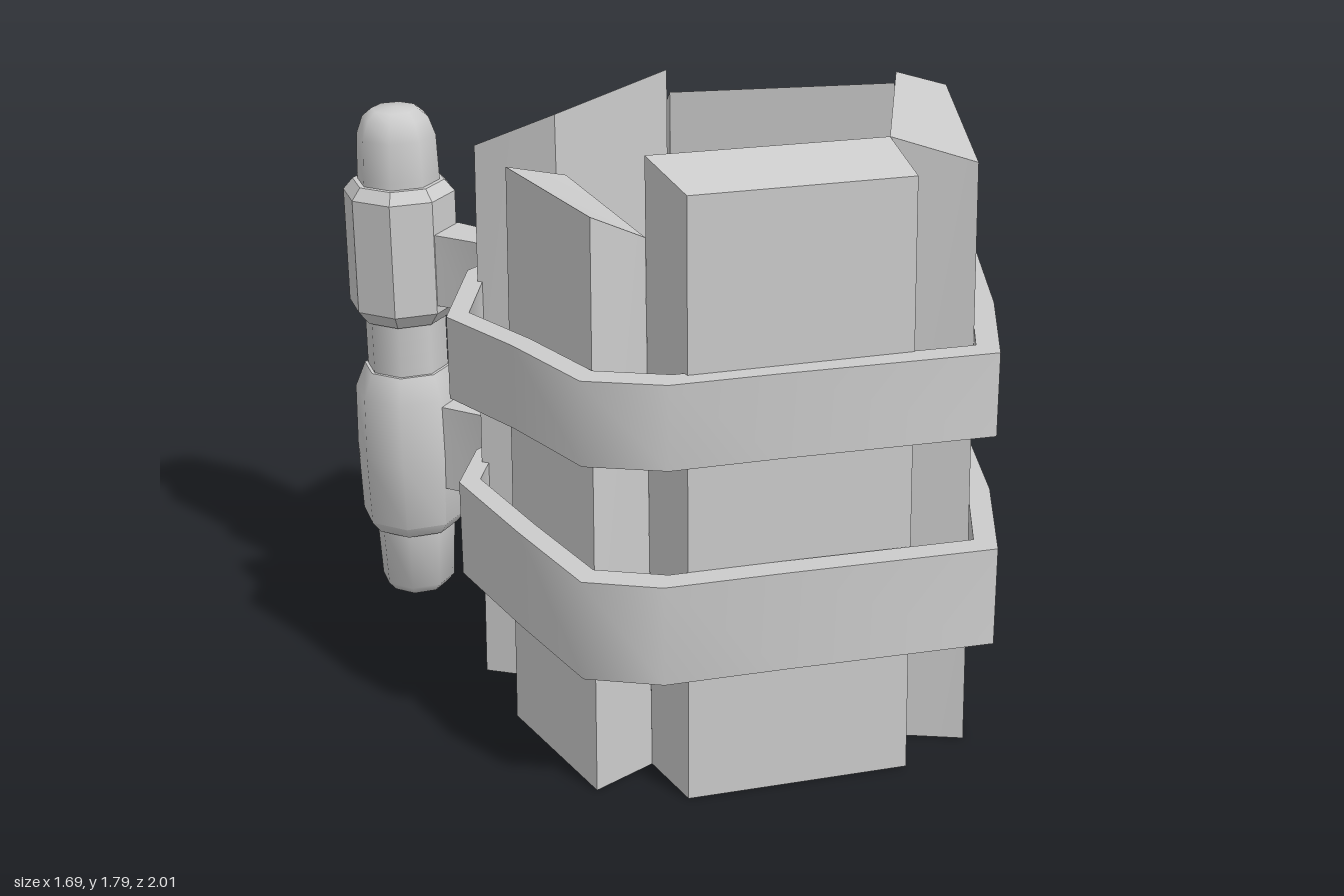
import * as THREE from 'three';
import { toCreasedNormals } from 'three/addons/utils/BufferGeometryUtils.js';

const material = new THREE.MeshStandardMaterial({ color: 0xcccccc, side: THREE.DoubleSide });

function addMesh(parent, name, geometry) {
  const mesh = new THREE.Mesh(geometry, material);
  mesh.name = name;
  parent.add(mesh);
  return mesh;
}

// Stave corners seen from outside: [x, z, top height];
// inner left, inner right, outer right, outer left
const staves = {
  frontStave: [[-0.51, 0.50, 1.79], [0.12, 0.68, 1.79], [0.10, 0.84, 1.73], [-0.49, 0.68, 1.73]],
  leftStave: [[0.12, 0.68, 1.79], [0.54, 0.10, 1.77], [0.69, 0.14, 1.72], [0.32, 0.80, 1.72]],
  backLeftStave: [[0.55, 0.08, 1.73], [0.03, -0.32, 1.68], [0.08, -0.46, 1.57], [0.68, -0.08, 1.57]],
  backRightStave: [[0.02, -0.32, 1.75], [-0.49, -0.04, 1.76], [-0.65, -0.22, 1.65], [-0.11, -0.49, 1.64]],
  rightStave: [[-0.47, -0.02, 1.59], [-0.51, 0.50, 1.57], [-0.68, 0.52, 1.66], [-0.69, 0.06, 1.67]],
};

// A box whose corners move to the stave outline, with a slanted top and a wider foot
function staveGeometry([innerLeft, innerRight, outerRight, outerLeft]) {
  const geometry = new THREE.BoxGeometry(1, 1, 1);
  const p = geometry.attributes.position;
  for (let i = 0; i < p.count; i++) {
    const right = p.getX(i) > 0, top = p.getY(i) > 0, outer = p.getZ(i) > 0;
    const [x, z, y] = outer ? (right ? outerRight : outerLeft) : (right ? innerRight : innerLeft);
    const spread = top ? 1 : outer ? 1.035 : 0.99;
    p.setXYZ(i, x * spread, top ? y : 0, z * spread);
  }
  geometry.computeVertexNormals();
  return geometry;
}

// Plan outlines as [x, z]
const upperHoop = [[-0.85, -0.01], [-0.64, -0.32], [-0.46, -0.40], [-0.28, -0.50], [-0.02, -0.65],
  [0.24, -0.46], [0.77, -0.11], [0.78, 0.17], [0.50, 0.66], [0.29, 0.97], [-0.28, 0.80], [-0.57, 0.72],
  [-0.75, 0.58], [-0.79, 0.27]];
const lowerHoop = [[-0.78, -0.13], [-0.64, -0.31], [-0.46, -0.39], [-0.28, -0.50], [-0.02, -0.61],
  [0.24, -0.45], [0.70, -0.12], [0.84, 0.0], [0.50, 0.68], [0.29, 1.0], [-0.28, 0.83], [-0.60, 0.74],
  [-0.77, 0.60], [-0.78, 0.25]];
const bracket = [[-0.44, -0.37], [-0.51, -0.56], [-0.60, -0.70], [-0.47, -0.75], [-0.39, -0.58], [-0.26, -0.48]];

// Raise a plan outline from y0 to y1, optionally hollowed by a smaller copy
function raise(outline, y0, y1, hollow) {
  const points = (s) => outline.map(([x, z]) => new THREE.Vector2(x * s, -z * s));
  const shape = new THREE.Shape(points(1));
  if (hollow) shape.holes.push(new THREE.Path(points(hollow)));
  const geometry = new THREE.ExtrudeGeometry(shape, { depth: y1 - y0, bevelEnabled: false });
  geometry.rotateX(-Math.PI / 2);
  geometry.translate(0, y0, 0);
  return toCreasedNormals(geometry, 1.4);
}

// Eight-sided turned part from [radius, y] pairs, bottom to top
function turned(profile, crease) {
  const points = profile.map(([r, y]) => new THREE.Vector2(r, y));
  return toCreasedNormals(new THREE.LatheGeometry(points, 8, 0.2), crease);
}

export function createModel() {
  const model = new THREE.Group();
  model.name = 'stavedBarrel';

  // Ring of five staves, open at top and bottom
  const body = new THREE.Group();
  body.name = 'staves';
  model.add(body);
  for (const [name, corners] of Object.entries(staves)) addMesh(body, name, staveGeometry(corners));

  // Hoops and the arms reaching back to the pin
  for (const [name, outline, y0, y1] of [['lower', lowerHoop, 0.40, 0.69], ['upper', upperHoop, 1.01, 1.25]]) {
    addMesh(model, name + 'Hoop', raise(outline, y0, y1, 0.92));
    addMesh(model, name + 'Bracket', raise(bracket, y0 + 0.005, y1 - 0.01));
  }

  // Hinge pin with two sleeves
  const hinge = new THREE.Group();
  hinge.name = 'hinge';
  hinge.position.set(-0.62, 0, -0.838);
  model.add(hinge);
  addMesh(hinge, 'pin', turned([[0, 0.015], [0.09, 0.02], [0.115, 0.05], [0.125, 0.25], [0.125, 0.8],
    [0.125, 1.4], [0.12, 1.52], [0.10, 1.575], [0.07, 1.60], [0, 1.605]], 1.0));
  addMesh(hinge, 'lowerSleeve', turned([[0.12, 0.24], [0.135, 0.24], [0.165, 0.28], [0.172, 0.5],
    [0.168, 0.70], [0.135, 0.78], [0.12, 0.78]], 0.9));
  addMesh(hinge, 'upperSleeve', turned([[0.12, 0.945], [0.135, 0.945], [0.17, 0.99], [0.17, 1.345],
    [0.14, 1.38], [0.12, 1.38]], 0.3));
  return model;
}
